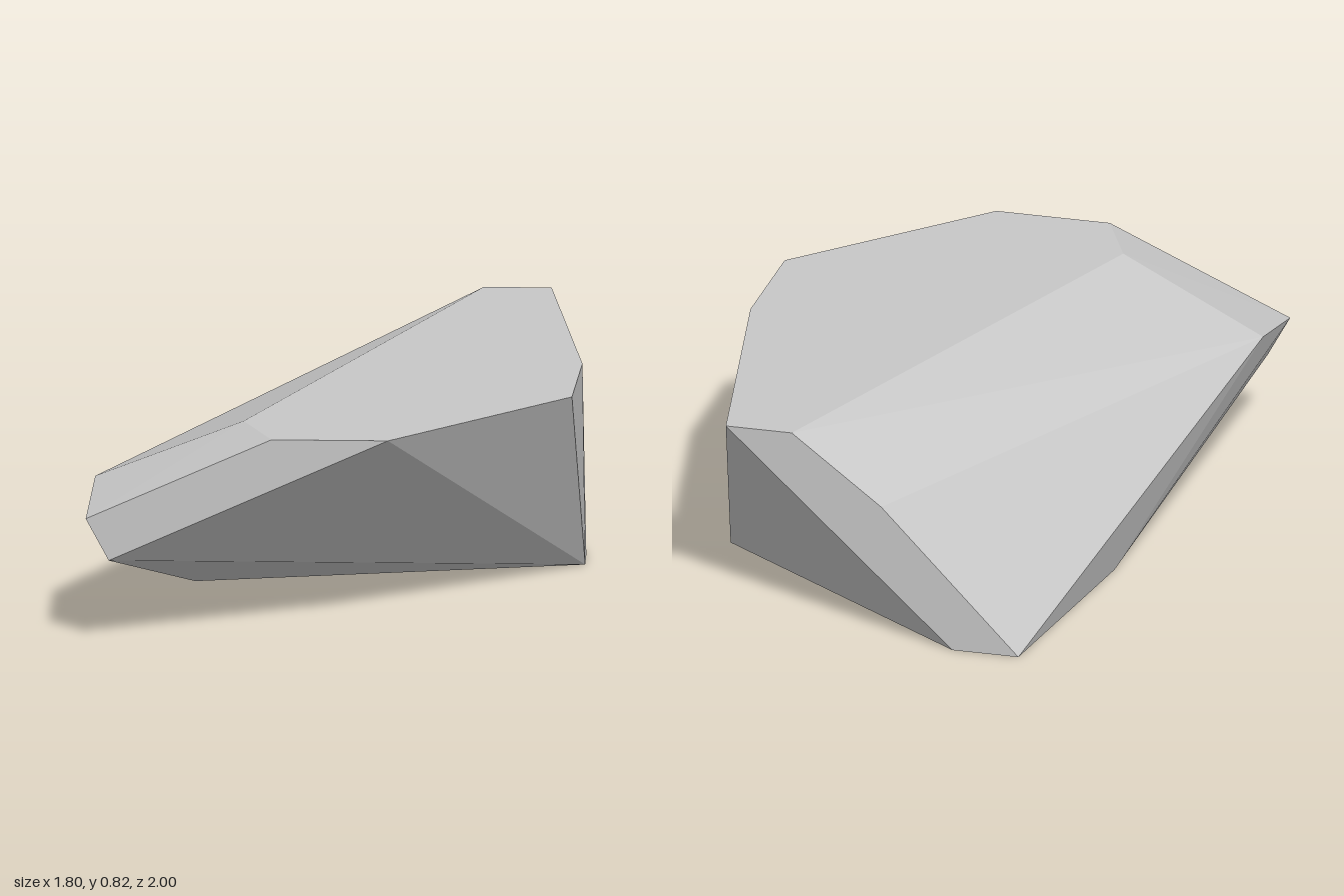
import * as THREE from 'three';
import { ConvexGeometry } from 'three/addons/geometries/ConvexGeometry.js';

export function createModel() {
  const stone = new THREE.MeshStandardMaterial({ color: 0xc6c6c6 });
  stone.name = 'stone';

  // Flat top, listed as [x, z]
  const topY = 0.82;
  const top = [
    [0.5, -1], [0.75, -1], [0.895, -0.02], [0.87, 0.41],
    [0.21, 1], [-0.22, 1], [-0.33, 0.76],
  ];
  // Flat underside, listed as [x, z]
  const base = [
    [-0.36, -1], [-0.11, -1], [0.9, -0.31], [0.9, -0.18],
    [-0.53, 0.08], [-0.53, -0.2],
  ];
  // Chipped corners between the two, listed as [x, y, z]
  const corners = [
    [-0.905, 0.51, 1], [-0.82, 0.35, 1], [-0.88, 0.58, 0.68], [0.16, 0.555, -1],
  ];

  const points = [
    ...top.map(([x, z]) => new THREE.Vector3(x, topY, z)),
    ...base.map(([x, z]) => new THREE.Vector3(x, 0, z)),
    ...corners.map((c) => new THREE.Vector3(...c)),
  ];

  const rock = new THREE.Mesh(new ConvexGeometry(points), stone);
  rock.name = 'rock';

  const group = new THREE.Group();
  group.name = 'facetedRock';
  group.add(rock);
  return group;
}
